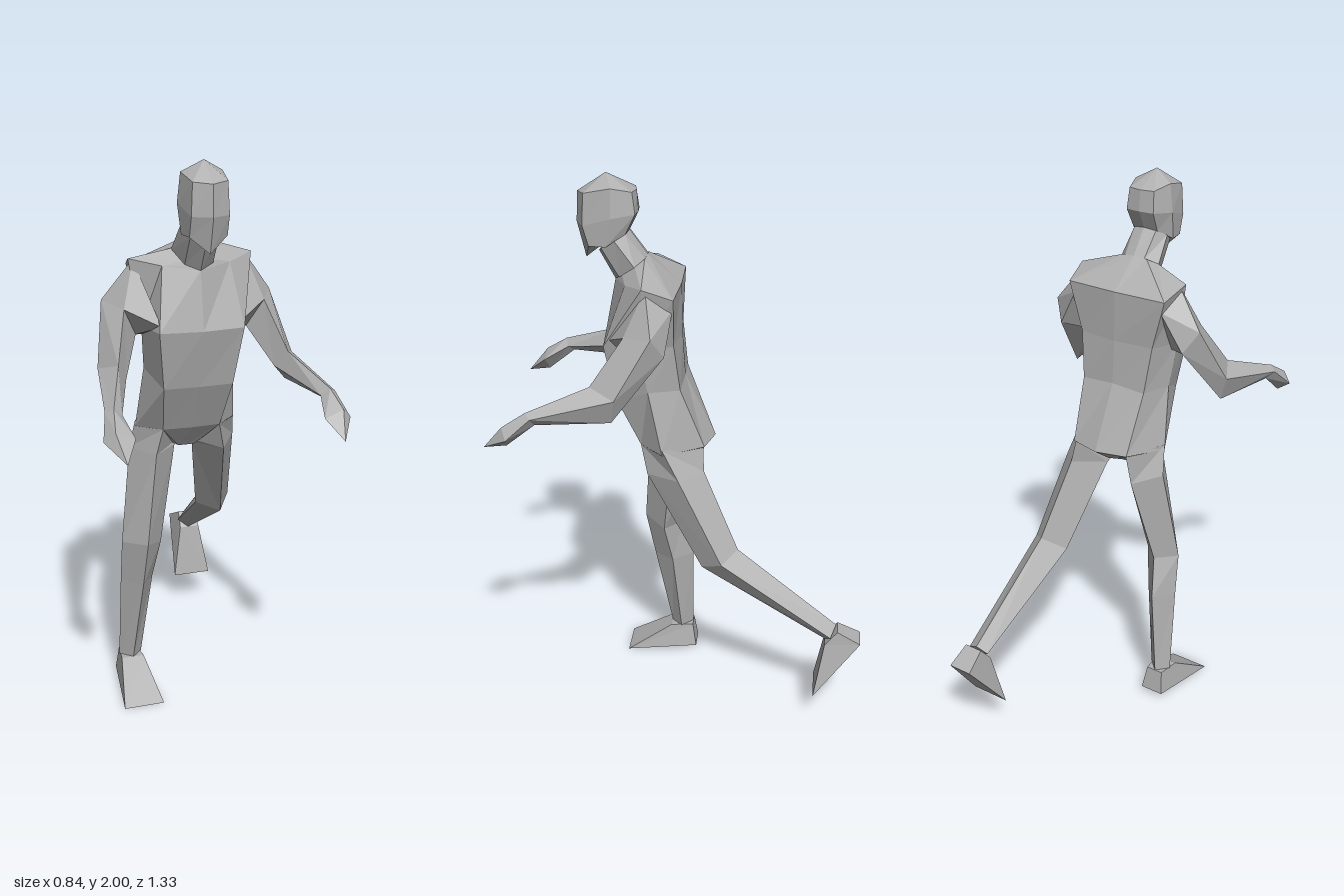
import * as THREE from 'three';

const grey = new THREE.MeshStandardMaterial({ color: 0xb0b0b0 });
grey.name = 'clay grey';

// Faceted skin over rings with equal point counts; ends close to a tip or the ring's centre
function loft(name, rings, endTip) {
  const n = rings[0].length;
  const centre = (r) => [0, 1, 2].map((k) => r.reduce((s, p) => s + p[k], 0) / n);
  const tris = [];
  for (let i = 0; i < rings.length - 1; i++) {
    for (let j = 0; j < n; j++) {
      const k = (j + 1) % n, a = rings[i], b = rings[i + 1];
      tris.push([a[j], a[k], b[k]], [a[j], b[k], b[j]]);
    }
  }
  const first = rings[0], last = rings[rings.length - 1];
  const c0 = centre(first), c1 = endTip || centre(last);
  for (let j = 0; j < n; j++) {
    const k = (j + 1) % n;
    tris.push([c0, first[k], first[j]], [c1, last[j], last[k]]);
  }
  // Signed volume tells whether the faces point outwards
  const v = (p) => new THREE.Vector3(...p);
  const volume = tris.reduce((s, [a, b, c]) => s + v(a).dot(v(b).cross(v(c))), 0);
  if (volume < 0) tris.forEach((t) => t.reverse());
  const geo = new THREE.BufferGeometry();
  geo.setAttribute('position', new THREE.Float32BufferAttribute(tris.flat(2), 3));
  geo.computeVertexNormals();
  const mesh = new THREE.Mesh(geo, grey);
  mesh.name = name;
  return mesh;
}

// Completes a half ring (front centre to back centre) by mirroring it in x
const whole = (half) => [...half, ...half.slice(1, -1).reverse().map(([x, y, z]) => [-x, y, z])];
const side = (s, rings) => rings.map((r) => r.map(([x, y, z]) => [s * x, y, z]));

export function createModel() {
  const model = new THREE.Group();
  model.name = 'runningFigure';

  // Torso: crotch, hips, waist, chest, shoulders, neck base
  model.add(loft('torso', [
    [[0, 0.955, 0.09], [0.03, 0.955, 0.09], [0.05, 0.96, 0.05], [0.05, 0.99, 0], [0, 0.99, -0.02]],
    [[0, 1.045, 0.16], [0.105, 1.045, 0.155], [0.185, 1.04, 0.07], [0.115, 1.05, -0.075], [0, 1.05, -0.105]],
    [[0, 1.22, 0.24], [0.125, 1.22, 0.235], [0.165, 1.27, 0.12], [0.13, 1.27, 0.01], [0, 1.28, 0.005]],
    [[0, 1.43, 0.29], [0.15, 1.43, 0.275], [0.18, 1.43, 0.15], [0.15, 1.44, 0.03], [0, 1.44, 0.015]],
    [[0, 1.63, 0.25], [0.12, 1.643, 0.2], [0.22, 1.66, 0.13], [0.2, 1.62, 0.025], [0, 1.62, 0.018]],
    [[0, 1.645, 0.245], [0.05, 1.66, 0.22], [0.08, 1.695, 0.17], [0.05, 1.715, 0.14], [0, 1.72, 0.135]],
  ].map(whole)));

  // Neck
  model.add(loft('neck', [
    [[0, 1.63, 0.25], [0.05, 1.65, 0.23], [0.08, 1.69, 0.17], [0.04, 1.715, 0.14], [0, 1.72, 0.135]],
    [[0, 1.73, 0.305], [0.05, 1.75, 0.29], [0.07, 1.78, 0.24], [0.045, 1.8, 0.205], [0, 1.81, 0.2]],
  ].map(whole)));

  // Head: jaw, cheeks, brow, crown
  model.add(loft('head', [
    [[0, 1.705, 0.35], [0.065, 1.76, 0.33], [0.075, 1.76, 0.27], [0.05, 1.8, 0.205], [0, 1.8, 0.2]],
    [[0, 1.83, 0.38], [0.065, 1.83, 0.35], [0.083, 1.86, 0.25], [0.055, 1.87, 0.17], [0, 1.87, 0.165]],
    [[0, 1.935, 0.375], [0.06, 1.94, 0.345], [0.072, 1.96, 0.25], [0.05, 1.945, 0.18], [0, 1.945, 0.17]],
  ].map(whole), [0, 2, 0.275]));

  // Arms: shoulder, upper arm, elbow, wrist, fist (corners: outer, front, inner, back)
  const arm = [
    [[0.2, 1.655, 0.12], [0.14, 1.45, 0.265], [0.14, 1.4, 0.15], [0.18, 1.58, 0.03]],
    [[0.305, 1.515, 0.09], [0.25, 1.5, 0.19], [0.2, 1.4, 0.15], [0.26, 1.44, 0.05]],
    [[0.35, 1.31, 0.21], [0.3, 1.34, 0.3], [0.265, 1.28, 0.265], [0.32, 1.22, 0.225]],
    [[0.395, 1.25, 0.49], [0.37, 1.265, 0.51], [0.34, 1.24, 0.5], [0.365, 1.22, 0.48]],
    [[0.42, 1.18, 0.57], [0.385, 1.215, 0.59], [0.32, 1.19, 0.59], [0.365, 1.14, 0.58]],
  ];
  for (const [s, label] of [[1, 'left'], [-1, 'right']]) {
    model.add(loft(label + 'Arm', side(s, arm), [s * 0.365, 1.13, 0.66]));
  }

  // Standing leg (corners: front, outer, back, inner)
  model.add(loft('rightLeg', [
    [[-0.105, 1.045, 0.155], [-0.185, 1.06, 0.07], [-0.11, 1.05, -0.07], [-0.03, 0.96, 0.05]],
    [[-0.13, 0.95, 0.155], [-0.2, 0.95, 0.04], [-0.12, 0.93, -0.05], [-0.035, 0.95, 0.06]],
    [[-0.17, 0.615, 0.18], [-0.245, 0.6, 0.09], [-0.17, 0.59, 0.035], [-0.1, 0.59, 0.1]],
    [[-0.18, 0.44, 0.145], [-0.247, 0.44, 0.07], [-0.19, 0.44, -0.005], [-0.125, 0.44, 0.07]],
    [[-0.205, 0.11, 0.08], [-0.25, 0.11, 0.04], [-0.21, 0.11, -0.005], [-0.165, 0.11, 0.04]],
  ]));
  model.add(loft('rightFoot', [
    [[-0.165, 0.11, 0.08], [-0.25, 0.11, 0.08], [-0.24, 0.11, -0.005], [-0.175, 0.11, -0.005]],
    [[-0.135, 0, 0.255], [-0.285, 0, 0.255], [-0.25, 0.02, -0.02], [-0.16, 0.02, -0.02]],
  ]));

  // Trailing leg, bent back at the knee
  model.add(loft('leftLeg', [
    [[0.105, 1.045, 0.155], [0.185, 1.06, 0.07], [0.11, 1.05, -0.07], [0.03, 0.96, 0.05]],
    [[0.13, 0.94, 0.13], [0.205, 0.95, 0.01], [0.13, 0.96, -0.075], [0.04, 0.94, 0.03]],
    [[0.19, 0.6, -0.075], [0.245, 0.64, -0.15], [0.18, 0.675, -0.205], [0.11, 0.62, -0.14]],
    [[0.205, 0.33, -0.535], [0.25, 0.36, -0.555], [0.2, 0.39, -0.575], [0.165, 0.36, -0.555]],
  ]));
  model.add(loft('leftFoot', [
    [[0.17, 0.33, -0.535], [0.25, 0.33, -0.535], [0.245, 0.385, -0.58], [0.175, 0.385, -0.58]],
    [[0.135, 0.125, -0.5], [0.285, 0.125, -0.5], [0.25, 0.34, -0.665], [0.16, 0.34, -0.665]],
  ]));

  return model;
}
